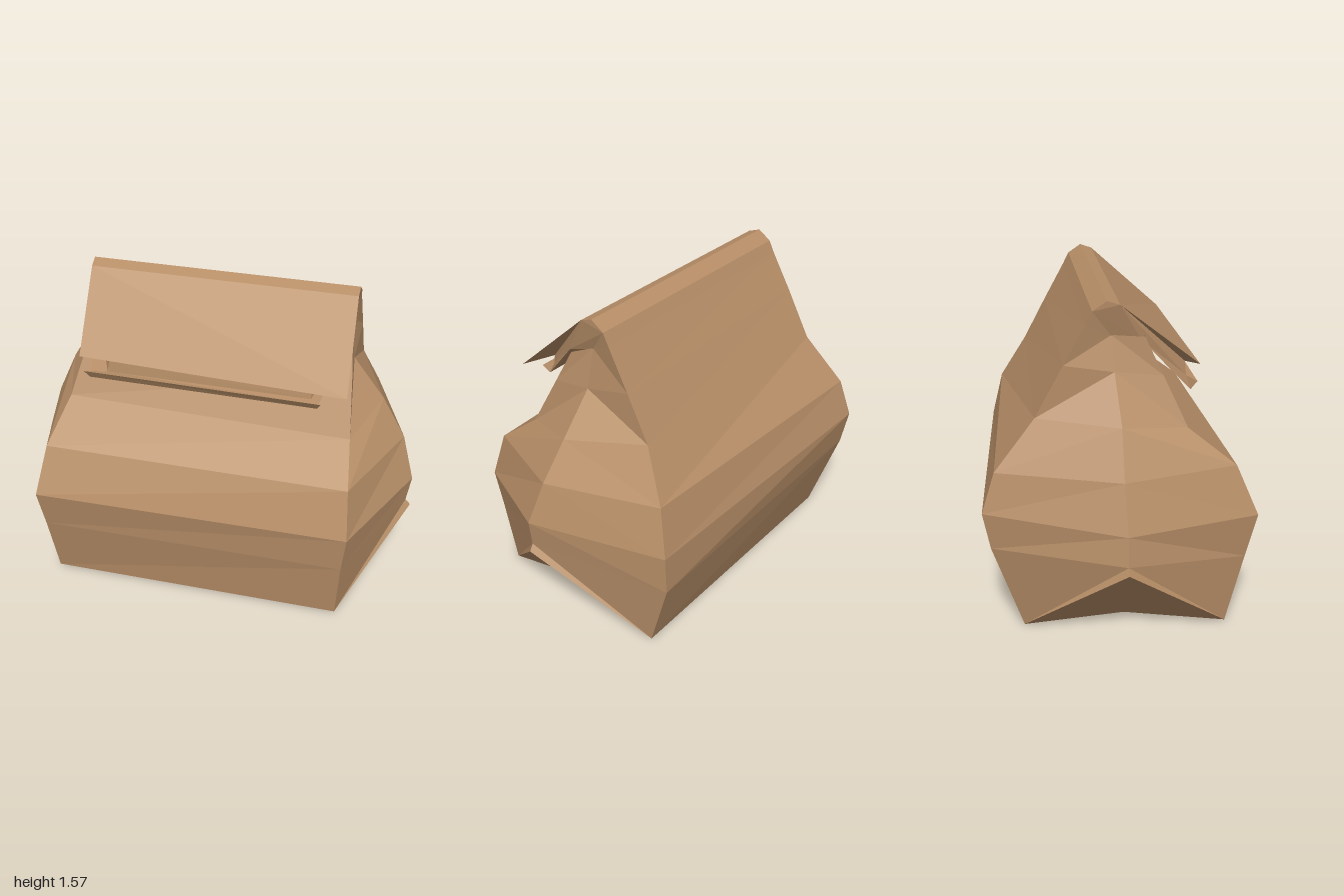
import * as THREE from 'three';

const paper = new THREE.MeshStandardMaterial({ color: 0xb88f68, flatShading: true, side: THREE.DoubleSide });
paper.name = 'brown paper';

// Flat-faced mesh from a list of [p, q, r] triangles
function facetMesh(name, tris) {
  const g = new THREE.BufferGeometry();
  g.setAttribute('position', new THREE.Float32BufferAttribute(tris.flat(2), 3));
  g.computeVertexNormals();
  const m = new THREE.Mesh(g, paper);
  m.name = name;
  return m;
}

// Cross-sections from base to neck:
// front-right-hand corner order is -x front, +x front, +x crease, +x back, -x back, -x crease
const rows = [
  [[-.77, .015, .5], [.7, .01, .5], [.61, .01, .03], [.75, 0, -.45], [-.7, .01, -.45], [-.64, .01, .03]],
  [[-.785, .36, .58], [.72, .34, .55], [.975, .465, .085], [.77, .36, -.56], [-.74, .44, -.595], [-.975, .43, .01]],
  [[-.8, .575, .63], [.74, .54, .575], [.995, .6, .08], [.78, .56, -.56], [-.75, .62, -.63], [-.96, .57, .01]],
  [[-.76, .81, .53], [.72, .78, .5], [.93, .81, .03], [.74, .8, -.505], [-.73, .81, -.57], [-.89, .8, 0]],
  [[-.7, .98, .31], [.69, .935, .3], [.81, 1, 0], [.66, 1.04, -.37], [-.67, 1.04, -.38], [-.79, 1.02, 0]],
  [[-.64, 1.21, .205], [.665, 1.19, .165], [.65, 1.2, -.015], [.655, 1.26, -.255], [-.67, 1.28, -.25], [-.66, 1.24, -.02]],
  [[-.63, 1.39, .12], [.645, 1.355, .08], [.62, 1.4, -.03], [.65, 1.455, -.15], [-.665, 1.46, -.15], [-.62, 1.4, -.03]],
];
// Lower tips of the folded triangles at both ends of the base
const tips = { 2: [1, .435, .08], 5: [-1, .4, .01] };

function bagBody() {
  const tris = [];
  for (let r = 0; r < rows.length - 1; r++) {
    for (let i = 0; i < 6; i++) {
      const j = (i + 1) % 6;
      const a = rows[r][i], b = rows[r][j], c = rows[r + 1][j], d = rows[r + 1][i];
      const startsAtCrease = i === 2 || i === 5;
      const tip = r === 0 && (tips[i] || tips[j]);
      if (tip && startsAtCrease) tris.push([a, b, tip], [tip, b, d], [b, c, d]);
      else if (tip) tris.push([a, b, tip], [a, tip, c], [a, c, d]);
      else if (startsAtCrease) tris.push([a, b, d], [b, c, d]);
      else tris.push([a, b, c], [a, c, d]);
    }
  }
  return facetMesh('bagBody', tris);
}

function bagBase() {
  const [fl, fr, mr, br, bl, ml] = rows[0];
  return facetMesh('bagBase', [[fl, mr, fr], [fl, ml, mr], [ml, br, mr], [ml, bl, br]]);
}

// Rolled top: each entry is [z, y at -x end, y at +x end, x of -x end, x of +x end]
function foldedTop() {
  const profile = [
    [-.15, 1.46, 1.455, -.665, .65],
    [-.12, 1.52, 1.515, -.665, .65],
    [-.055, 1.565, 1.56, -.665, .65],
    [.005, 1.545, 1.54, -.66, .65],
    [.375, 1.25, 1.205, -.612, .67],
    [.33, 1.225, 1.195, -.48, .5],
    [.335, 1.16, 1.155, -.49, .5],
    [.367, 1.165, 1.15, -.6, .55],
    [.34, 1.12, 1.11, -.58, .53],
    [.11, 1.365, 1.35, -.6, .62],
    [-.03, 1.395, 1.395, -.62, .62],
  ];
  const left = profile.map(([z, yL, , xL]) => [xL, yL, z]);
  const right = profile.map(([z, , yR, , xR]) => [xR, yR, z]);
  const tris = [];
  profile.forEach((_, i) => {
    const j = (i + 1) % profile.length;
    tris.push([left[i], left[j], right[j]], [left[i], right[j], right[i]]);
  });
  // End caps
  const outline = profile.map(([z, yL, yR]) => new THREE.Vector2(z, (yL + yR) / 2));
  // The outline runs clockwise in (z, y), which faces +x
  for (const [a, b, c] of THREE.ShapeUtils.triangulateShape(outline, [])) {
    const flip = (outline[b].x - outline[a].x) * (outline[c].y - outline[a].y)
      - (outline[b].y - outline[a].y) * (outline[c].x - outline[a].x) > 0;
    const [p, q] = flip ? [c, b] : [b, c];
    tris.push([right[a], right[q], right[p]], [left[a], left[p], left[q]]);
  }
  return facetMesh('foldedTop', tris);
}

export function createModel() {
  const bag = new THREE.Group();
  bag.name = 'paperBag';
  bag.add(bagBody(), bagBase(), foldedTop());
  return bag;
}
